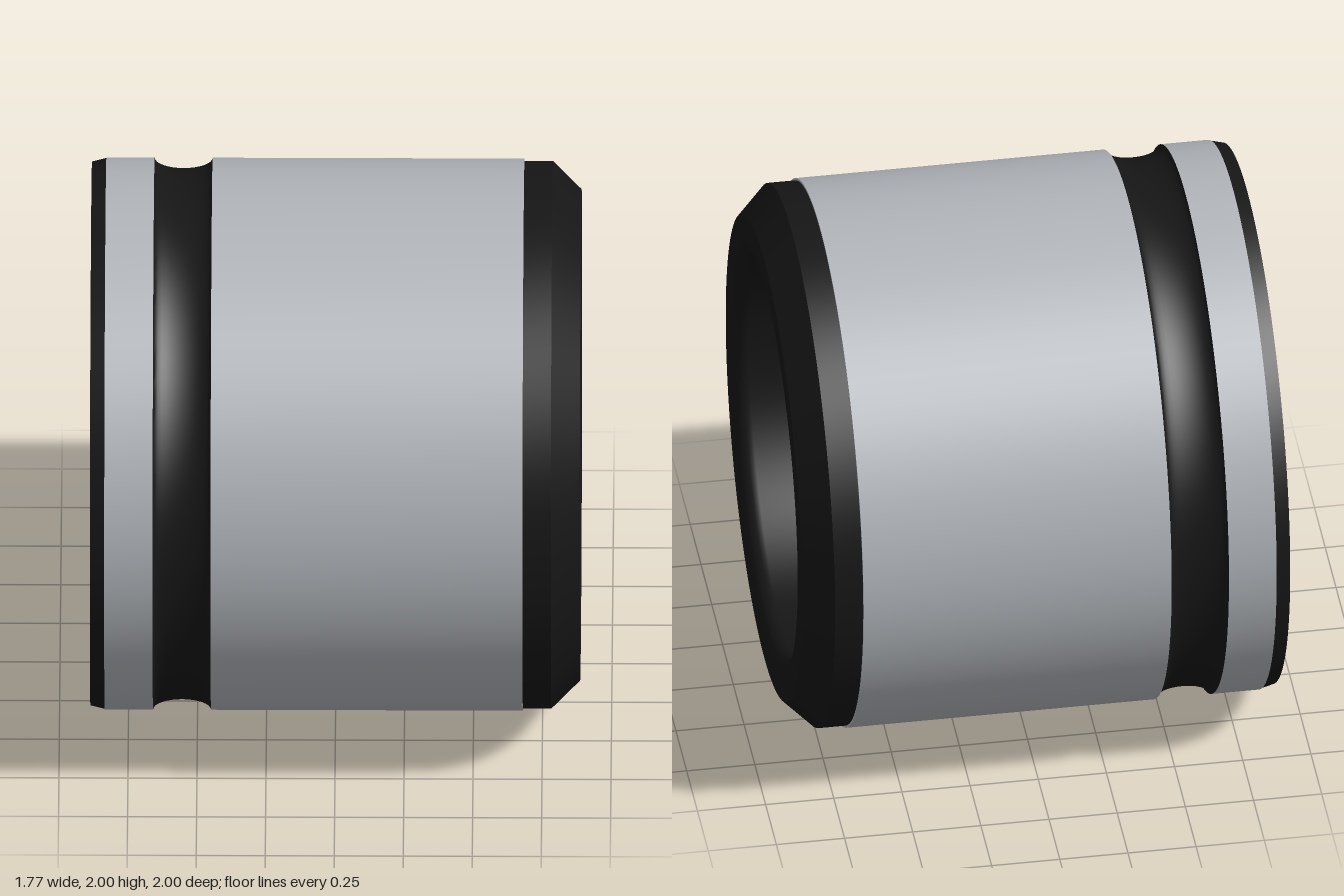
import * as THREE from 'three';
import { toCreasedNormals } from 'three/addons/utils/BufferGeometryUtils.js';

const black = new THREE.MeshStandardMaterial({ color: 0x161616 });
const steel = new THREE.MeshStandardMaterial({ color: 0xb2b6bb });

// Turns a profile of [x, radius] pairs about the x axis (outer skin runs towards +x, bore towards -x)
function turned(name, profile, material) {
  const points = profile.map(([x, r]) => new THREE.Vector2(r, x));
  const lathe = new THREE.LatheGeometry(points, 128);
  lathe.rotateZ(-Math.PI / 2);
  const mesh = new THREE.Mesh(toCreasedNormals(lathe, 0.45), material);
  mesh.name = name;
  return mesh;
}

// Samples an elliptical arc in the profile plane
function arc(cx, cr, ax, ar, from, to, steps) {
  return Array.from({ length: steps + 1 }, (_, i) => {
    const a = from + ((to - from) * i) / steps;
    return [cx + ax * Math.cos(a), cr + ar * Math.sin(a)];
  });
}

export function createModel() {
  const group = new THREE.Group();
  group.name = 'bushing';
  const P = Math.PI;
  const bore = 0.725;

  // Steel bands
  group.add(turned('mainSleeve', [[-0.45, 0.97], [-0.45, 1], [0.68, 1], [0.68, 0.97]], steel));
  group.add(turned('narrowBand', [[-0.835, 0.97], [-0.835, 1], [-0.66, 1], [-0.66, 0.97]], steel));

  // Concave groove between the bands
  group.add(turned('outerGroove', arc(-0.555, 1, 0.105, 0.038, P, 2 * P, 16), black));

  // Chamfered nose on the right end
  group.add(turned('chamferedEnd', [
    [0.68, 0.992], [0.783, 0.992], [0.887, 0.89], [0.887, bore + 0.06],
  ], black));

  // Tapered lip on the other end
  group.add(turned('taperedEnd', [
    [-0.887, bore + 0.06], [-0.887, 0.985], [-0.835, 0.998],
  ], black));

  // Bore with rounded mouths and narrow ring grooves
  const liner = arc(0.827, bore + 0.06, 0.06, 0.06, 0, -P / 2, 8);
  for (const x of [0.5, 0.21, -0.21, -0.5]) {
    liner.push([x + 0.03, bore], [x + 0.03, bore + 0.015], [x - 0.03, bore + 0.015], [x - 0.03, bore]);
  }
  liner.push(...arc(-0.827, bore + 0.06, 0.06, 0.06, -P / 2, -P, 8));
  group.add(turned('boreLiner', liner, black));

  group.position.y = 1;
  const model = new THREE.Group();
  model.name = 'model';
  model.add(group);
  return model;
}
